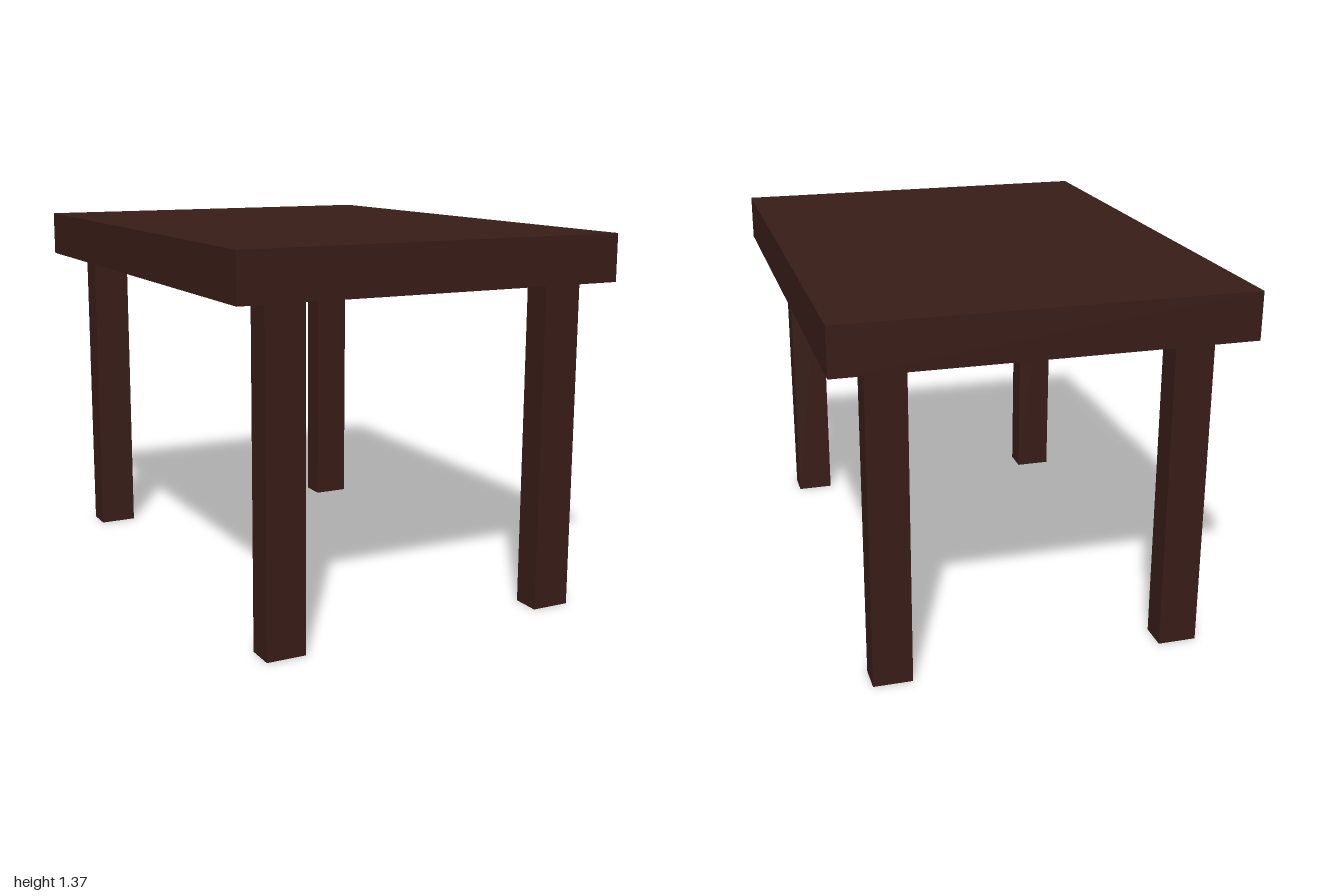
import * as THREE from 'three';

export function createModel() {
  const table = new THREE.Group();
  table.name = 'table';
  const wood = new THREE.MeshStandardMaterial({ color: 0x381c16 });

  const addBox = (name, [w, h, d], [x, y, z]) => {
    const mesh = new THREE.Mesh(new THREE.BoxGeometry(w, h, d), wood);
    mesh.name = name;
    mesh.position.set(x, y, z);
    table.add(mesh);
  };

  // Thick slab top
  const legHeight = 1.2;
  const topThickness = 0.174;
  addBox('tableTop', [1.476, topThickness, 2], [0, legHeight + topThickness / 2, 0]);

  // Four rectangular legs, set slightly off centre under the top
  for (const [side, x] of [['Left', 0.532], ['Right', -0.554]]) {
    for (const [end, z] of [['front', 0.91], ['back', -0.836]]) {
      addBox(`${end}${side}Leg`, [0.145, legHeight, 0.107], [x, legHeight / 2, z]);
    }
  }
  return table;
}
